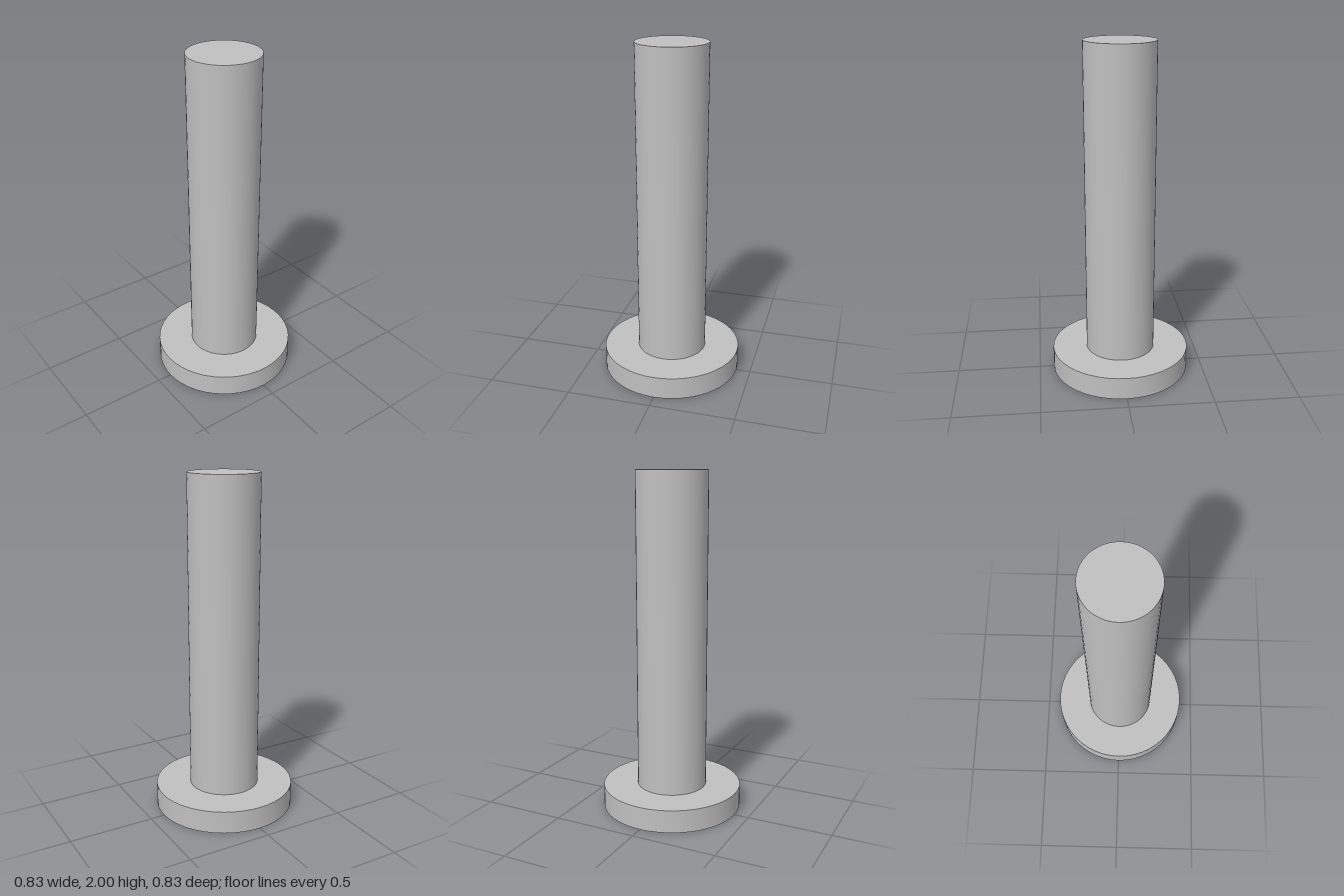
import * as THREE from 'three';
import { toCreasedNormals } from 'three/addons/utils/BufferGeometryUtils.js';

const SEGMENTS = 48;
const HEAD_RADIUS = 0.414, HEAD_HEIGHT = 0.135;
const SHAFT_RADIUS = 0.207, TOTAL_HEIGHT = 2;
const SOCKET_RADIUS = 0.147, SOCKET_DEPTH = 0.106;
const SOCKET_TURN = THREE.MathUtils.degToRad(36);

// Six corners of the hexagonal socket in the x-z plane
function hexagonPoints() {
  return Array.from({ length: 6 }, (_, i) => {
    const a = SOCKET_TURN + (i * Math.PI) / 3;
    return new THREE.Vector2(Math.cos(a) * SOCKET_RADIUS, Math.sin(a) * SOCKET_RADIUS);
  });
}

// Solid of revolution with crisp edges between its flat and round faces
function turned(points) {
  const profile = points.map(([r, y]) => new THREE.Vector2(r, y));
  return toCreasedNormals(new THREE.LatheGeometry(profile, SEGMENTS), Math.PI / 6);
}

// Flat face looking straight down at height y
function downwardFace(shape, y) {
  return new THREE.ShapeGeometry(shape, SEGMENTS).rotateX(Math.PI / 2).translate(0, y, 0);
}

export function createModel() {
  const model = new THREE.Group();
  model.name = 'socketBolt';
  const steel = new THREE.MeshStandardMaterial({ color: 0xc0c0c0 });
  steel.name = 'steel grey';

  const add = (name, geometry, parent) => {
    const mesh = new THREE.Mesh(geometry, steel);
    mesh.name = name;
    parent.add(mesh);
  };

  // Round shaft with a flat end
  add('shaft', turned([
    [SHAFT_RADIUS, HEAD_HEIGHT], [SHAFT_RADIUS, TOTAL_HEIGHT], [0, TOTAL_HEIGHT],
  ]), model);

  // Flat disc head: rim and shoulder, then the underside pierced by the socket
  const head = new THREE.Group();
  head.name = 'head';
  model.add(head);
  add('headRim', turned([
    [HEAD_RADIUS, 0], [HEAD_RADIUS, HEAD_HEIGHT], [SHAFT_RADIUS, HEAD_HEIGHT],
  ]), head);

  const underside = new THREE.Shape().absarc(0, 0, HEAD_RADIUS, 0, Math.PI * 2);
  underside.holes.push(new THREE.Path(hexagonPoints()));
  add('headUnderside', downwardFace(underside, 0), head);

  // Hexagonal socket: floor and six walls turned to face inward
  add('socketFloor', downwardFace(new THREE.Shape(hexagonPoints()), SOCKET_DEPTH), head);
  const walls = new THREE.CylinderGeometry(
    SOCKET_RADIUS, SOCKET_RADIUS, SOCKET_DEPTH, 6, 1, true, Math.PI / 2 + SOCKET_TURN,
  ).toNonIndexed();
  walls.scale(1, 1, -1).translate(0, SOCKET_DEPTH / 2, 0);
  walls.computeVertexNormals();
  add('socketWalls', walls, head);

  return model;
}
